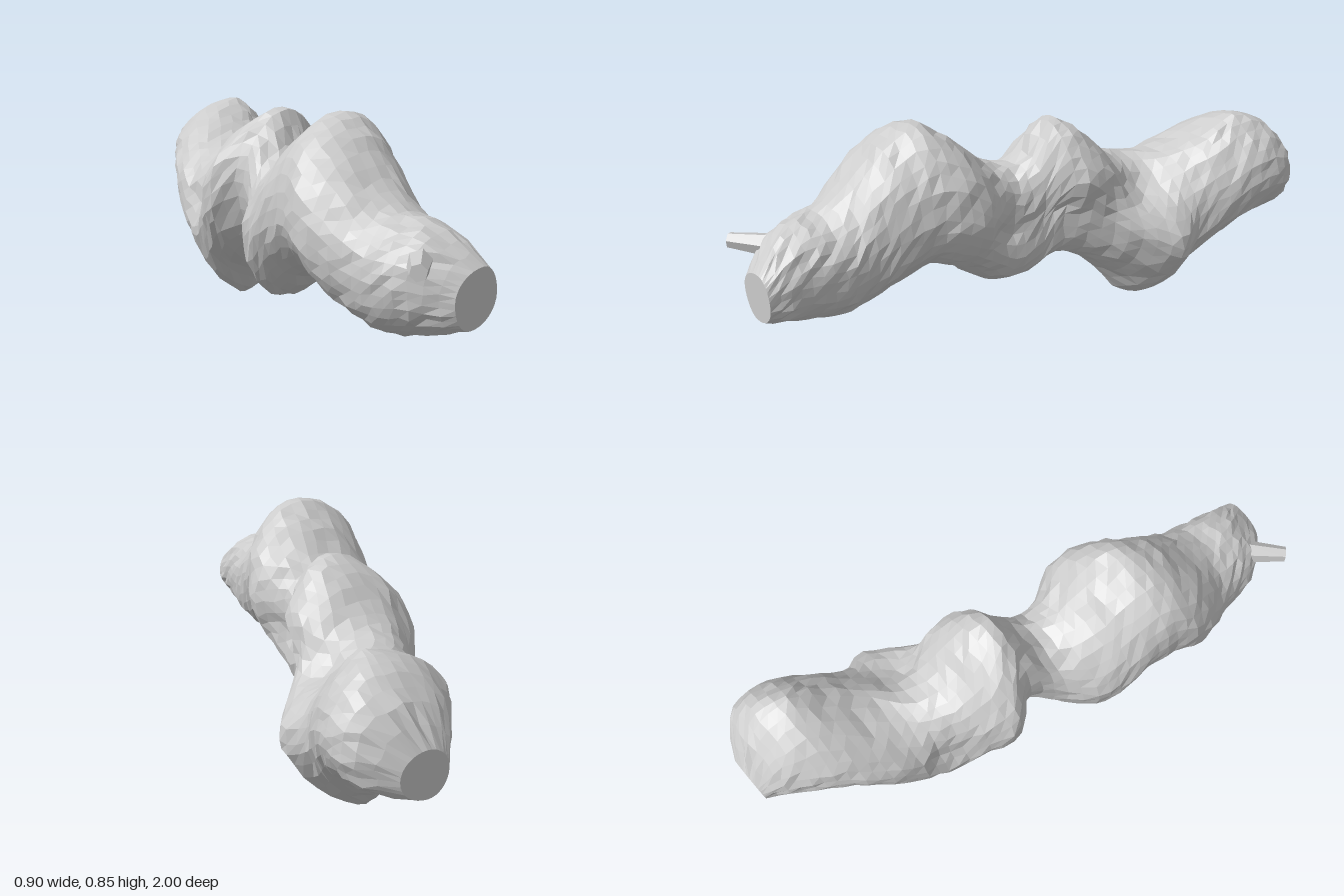
import * as THREE from 'three';

const SIDES = 32;
const RINGS = 54;

// Outline from back to front: z, x range, y range, x of the top ridge, x of the underside
const SECTIONS = [
  [-1.0, 0.14, 0.31, 0.35, 0.51, 0.22, 0.21],
  [-0.92, 0.08, 0.42, 0.335, 0.64, 0.26, 0.23],
  [-0.75, -0.04, 0.43, 0.29, 0.73, 0.26, 0.19],
  [-0.62, -0.12, 0.38, 0.19, 0.65, 0.21, 0.12],
  [-0.52, -0.16, 0.34, 0.08, 0.6, 0.13, 0.08],
  [-0.42, -0.19, 0.37, 0.0, 0.59, 0.02, 0.05],
  [-0.3, -0.24, 0.29, 0.13, 0.63, -0.02, 0.03],
  [-0.2, -0.28, 0.2, 0.22, 0.73, -0.01, 0.02],
  [-0.08, -0.2, 0.14, 0.27, 0.79, 0.0, -0.01],
  [0.02, -0.26, 0.09, 0.2, 0.65, -0.04, -0.08],
  [0.12, -0.36, 0.08, 0.17, 0.65, -0.1, -0.15],
  [0.29, -0.4, 0.11, 0.29, 0.79, -0.15, -0.16],
  [0.4, -0.42, 0.06, 0.33, 0.85, -0.16, -0.17],
  [0.5, -0.45, 0.01, 0.29, 0.8, -0.18, -0.19],
  [0.7, -0.41, -0.04, 0.22, 0.62, -0.22, -0.22],
  [0.88, -0.37, -0.08, 0.25, 0.57, -0.21, -0.21],
  [1.0, -0.28, -0.1, 0.29, 0.475, -0.16, -0.21],
];
const outline = new THREE.CubicInterpolant(
  SECTIONS.map((row) => row[0]),
  SECTIONS.flatMap((row) => row.slice(1)),
  6,
);

// Local swellings (+) and hollows (-): x, y, z, radius, amount
const SCULPTING = [
  [0.08, 0.44, 0.14, 0.1, -0.055], // groove below the head
  [0.1, 0.45, -0.06, 0.09, -0.05], // groove below the middle hump
  [0.16, 0.6, -0.12, 0.08, 0.035], // side of the middle hump
  [0.22, 0.52, -0.36, 0.12, -0.07], // hollow above the side ridge
  [-0.19, 0.42, -0.42, 0.09, -0.035], // crease on the other side
];

const bell = (distance, width) => Math.exp(-((distance / width) ** 2));

// Ring of four quarter arcs joining the side, top and bottom extremes
function ringPoint(z, angle) {
  const [x0, x1, y0, y1, xTop, xBottom] = outline.evaluate(z);
  const c = Math.cos(angle), s = Math.sin(angle);
  const cx = s >= 0 ? xTop : xBottom;
  const cy = y0 + (y1 - y0) * (0.52 - 0.06 * bell(z - 0.42, 0.2));
  // The rear hump rises to a peak and the underside narrows to a keel
  const power = 1 + (s < 0 ? 0.4 * bell(z + 0.42, 0.14) : 0.25 * bell(z + 0.75, 0.1));
  let x = cx + Math.sign(c) * Math.abs(c) ** power * (c >= 0 ? x1 - cx : cx - x0);
  let y = cy + Math.sign(s) * Math.abs(s) ** power * (s >= 0 ? y1 - cy : cy - y0);
  const length = Math.hypot(x - cx, y - cy);
  const ux = (x - cx) / length, uy = (y - cy) / length;
  for (const [px, py, pz, radius, amount] of SCULPTING) {
    const push = amount * bell(Math.hypot(x - px, y - py, z - pz), radius);
    x += ux * push;
    y += uy * push;
  }
  return [x, y];
}

function createBodyGeometry() {
  let seed = 7;
  const jitter = (amount) => {
    seed = (seed * 16807) % 2147483647;
    return (seed / 2147483647 - 0.5) * amount;
  };
  const positions = [], index = [];
  for (let r = 0; r <= RINGS; r++) {
    const z = -1 + (2 * r) / RINGS;
    const rough = r === 0 || r === RINGS ? 0 : 0.011;
    for (let s = 0; s < SIDES; s++) {
      const [x, y] = ringPoint(z, (s / SIDES) * Math.PI * 2);
      positions.push(x + jitter(rough), Math.max(0, y + jitter(rough)), z + jitter(rough));
    }
  }
  for (let r = 0; r < RINGS; r++) {
    for (let s = 0; s < SIDES; s++) {
      const a = r * SIDES + s, b = r * SIDES + ((s + 1) % SIDES);
      index.push(a, b, a + SIDES, b, b + SIDES, a + SIDES);
    }
  }
  // Flat cut ends
  const last = RINGS * SIDES;
  for (let s = 1; s < SIDES - 1; s++) {
    index.push(0, s + 1, s, last, last + s, last + s + 1);
  }
  const geometry = new THREE.BufferGeometry();
  geometry.setAttribute('position', new THREE.Float32BufferAttribute(positions, 3));
  geometry.setIndex(index);
  geometry.computeVertexNormals();
  return geometry;
}

export function createModel() {
  const group = new THREE.Group();
  const material = new THREE.MeshStandardMaterial({ color: 0xcccccc, flatShading: true });

  // Lumpy main body
  const body = new THREE.Mesh(createBodyGeometry(), material);
  body.name = 'lumpyBody';
  group.add(body);

  // Small spur beside the front end
  const start = new THREE.Vector3(-0.28, 0.49, 0.86);
  const end = new THREE.Vector3(-0.41, 0.5, 0.98);
  const direction = end.clone().sub(start);
  const spur = new THREE.Mesh(new THREE.CylinderGeometry(0.027, 0.045, direction.length(), 6), material);
  spur.name = 'frontSpur';
  spur.position.copy(start).add(end).multiplyScalar(0.5);
  spur.quaternion.setFromUnitVectors(new THREE.Vector3(0, 1, 0), direction.normalize());
  group.add(spur);

  return group;
}
